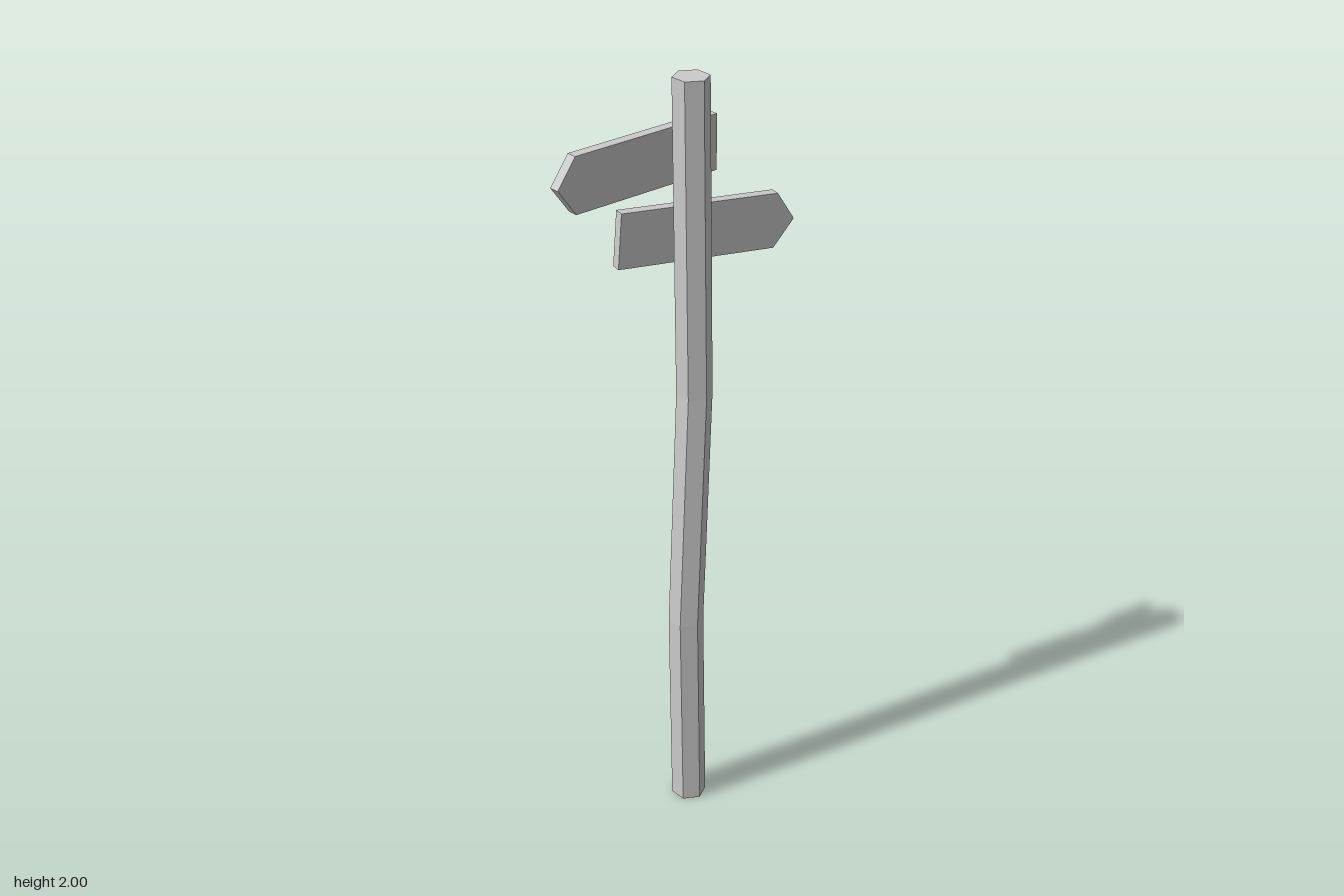
import * as THREE from 'three';

const material = new THREE.MeshStandardMaterial({ color: 0xcccccc, flatShading: true });

function part(name, geometry) {
  const mesh = new THREE.Mesh(geometry, material);
  mesh.name = name;
  return mesh;
}

// Hexagonal pole whose cross-sections are shifted along z to give a slight bend
function createPost() {
  const rings = [[0, -0.02], [0.55, -0.009], [1.19, -0.034], [2, -0.02]]; // [height, z]
  const geometry = new THREE.CylinderGeometry(0.045, 0.045, 3, 6, 3, false, Math.PI / 2);
  const pos = geometry.attributes.position;
  for (let i = 0; i < pos.count; i++) {
    const [y, z] = rings[Math.round(pos.getY(i) + 1.5)];
    pos.setXYZ(i, pos.getX(i) + 0.029, y, pos.getZ(i) + z);
  }
  geometry.computeVertexNormals();
  return part('post', geometry);
}

// Pointed plank along local +x, with two nails on the face given by side (+1 or -1)
function createSign(name, nailX, side) {
  const depth = 0.027, half = 0.07;
  const shape = new THREE.Shape([
    [-0.138, -half], [0.282, -half], [0.333, 0], [0.282, half], [-0.138, half],
  ].map(([x, y]) => new THREE.Vector2(x, y)));
  const board = new THREE.ExtrudeGeometry(shape, { depth, bevelEnabled: false });
  board.translate(0, 0, -depth / 2);

  const sign = new THREE.Group();
  sign.name = name;
  sign.add(part('board', board));
  for (const y of [-0.03, 0.03]) {
    const nail = part('nail', new THREE.CylinderGeometry(0.007, 0.007, 0.01, 6));
    nail.rotation.x = Math.PI / 2;
    nail.position.set(nailX, y, side * (depth / 2 + 0.001));
    sign.add(nail);
  }
  return sign;
}

export function createModel() {
  const model = new THREE.Group();
  model.name = 'signpost';
  model.add(createPost());

  // Upper sign points to the front
  const upper = createSign('upperSign', -0.02, 1);
  upper.position.set(-0.028, 1.8, 0);
  upper.rotation.y = -Math.PI / 2;

  // Lower sign points to the back, turned and drooping a little
  const lower = createSign('lowerSign', 0.013, -1);
  lower.position.set(-0.0315, 1.6, -0.007);
  lower.rotation.set(0, THREE.MathUtils.degToRad(77.6), THREE.MathUtils.degToRad(-4));

  model.add(upper, lower);
  return model;
}
